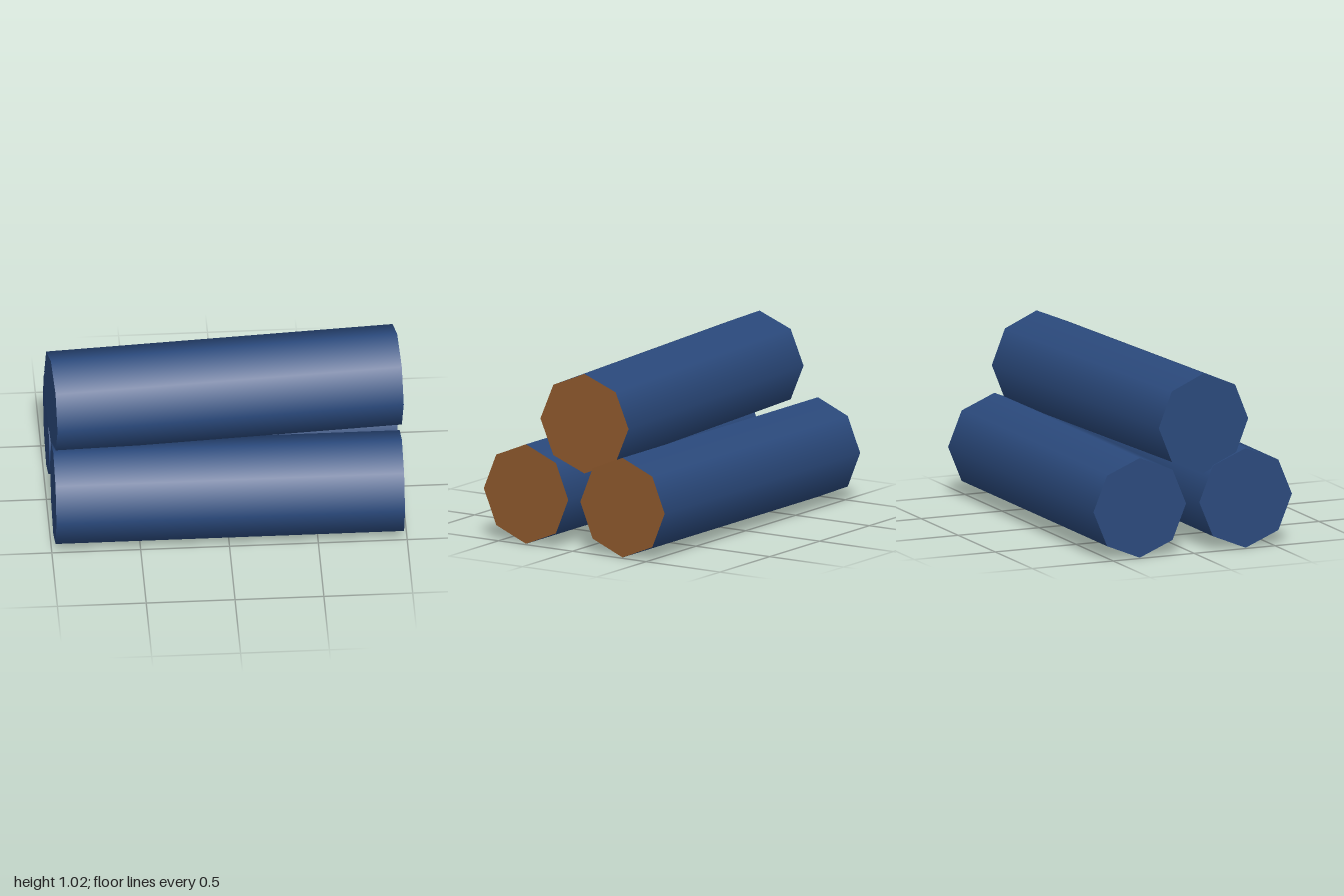
import * as THREE from 'three';

export function createModel() {
  const model = new THREE.Group();
  model.name = 'logPile';

  const barkBlue = new THREE.MeshStandardMaterial({ color: 0x2b4a7d });
  barkBlue.name = 'bark blue';
  const cutBrown = new THREE.MeshStandardMaterial({ color: 0x8b562b });
  cutBrown.name = 'cut wood brown';

  // Eight-sided log lying along x; only its +x end shows cut wood
  const radius = 0.286;
  const geometry = new THREE.CylinderGeometry(radius, radius, 1.962, 8);
  geometry.rotateZ(-Math.PI / 2);

  function addLog(name, y, z, turn) {
    const log = new THREE.Mesh(geometry, [barkBlue, cutBrown, barkBlue]);
    log.name = name;
    log.position.set(0, y, z);
    log.rotation.y = turn;
    model.add(log);
  }

  // Two logs on the ground, one resting slightly askew on top
  addLog('frontLog', radius, 0.327, 0);
  addLog('backLog', radius, -0.327, 0);
  addLog('topLog', 0.737, 0, 0.069);

  return model;
}
